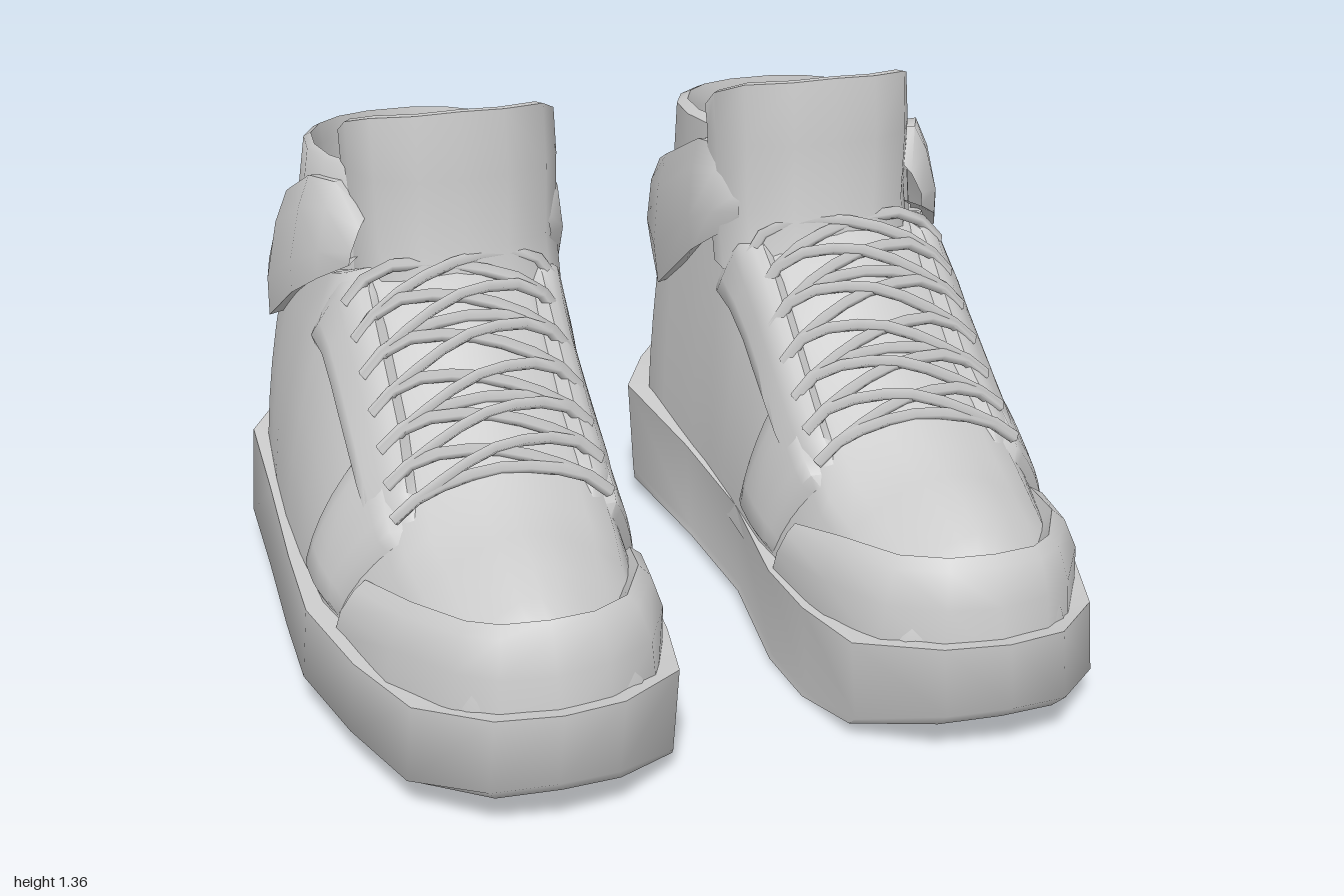
import * as THREE from 'three';
import { toCreasedNormals } from 'three/addons/utils/BufferGeometryUtils.js';

const lerp = THREE.MathUtils.lerp;
const material = new THREE.MeshStandardMaterial({ color: 0xcccccc, side: THREE.DoubleSide });

// Linear lookup in rows sorted by their first value, falling
function lookup(table, z) {
  let i = 0;
  while (i < table.length - 2 && z < table[i + 1][0]) i++;
  const a = table[i], b = table[i + 1];
  const k = THREE.MathUtils.clamp((z - a[0]) / (b[0] - a[0]), 0, 1);
  return a.map((v, j) => lerp(v, b[j], k));
}

// Skin rows of [x, y, z] points; side = -1 mirrors; faces are turned to point outward
function loft(name, rows, side, closed = false, crease = 1.1) {
  const n = rows[0].length, pts = rows.flat().map(p => new THREE.Vector3(p[0] * side, p[1], p[2]));
  const centre = pts.reduce((c, p) => c.add(p), new THREE.Vector3()).divideScalar(pts.length);
  centre.x = 0.53 * side;
  centre.y = Math.min(centre.y, 0.5);
  const index = [];
  for (let r = 0; r < rows.length - 1; r++) {
    for (let i = 0; i < (closed ? n : n - 1); i++) {
      const j = (i + 1) % n, a = r * n + i, b = r * n + j, c = a + n, d = b + n;
      index.push(a, b, d, a, d, c);
    }
  }
  let volume = 0;
  for (let i = 0; i < index.length; i += 3) {
    const [a, b, c] = [0, 1, 2].map(k => pts[index[i + k]].clone().sub(centre));
    volume += a.dot(b.cross(c));
  }
  if (volume < 0) index.reverse();
  const g = new THREE.BufferGeometry().setFromPoints(pts);
  g.setIndex(index);
  const mesh = new THREE.Mesh(toCreasedNormals(g, crease), material);
  mesh.name = name;
  return mesh;
}

// Upper: z, base inner/outer x, shoulder inner/outer x, shoulder y, ridge y
const stations = [
  [0.94, 0.42, 0.64, 0.44, 0.62, 0.28, 0.31], [0.88, 0.30, 0.73, 0.37, 0.69, 0.37, 0.465],
  [0.72, 0.23, 0.82, 0.30, 0.75, 0.42, 0.535], [0.50, 0.20, 0.87, 0.27, 0.77, 0.49, 0.59],
  [0.25, 0.18, 0.93, 0.28, 0.74, 0.66, 0.75], [0.00, 0.19, 0.94, 0.28, 0.74, 0.86, 0.96],
  [-0.12, 0.19, 0.94, 0.26, 0.75, 0.96, 1.00], [-0.20, 0.19, 0.94, 0.24, 0.79, 0.94, 0.95],
  [-0.40, 0.18, 0.93, 0.22, 0.82, 0.90, 0.91], [-0.65, 0.17, 0.91, 0.22, 0.82, 0.86, 0.88],
  [-0.82, 0.24, 0.84, 0.26, 0.79, 0.83, 0.85], [-0.90, 0.30, 0.77, 0.32, 0.73, 0.80, 0.82],
  [-0.95, 0.42, 0.66, 0.42, 0.64, 0.78, 0.79],
];
const BASE = 0.22;

// Point on the upper; t runs 0..1 from the inner base over the top to the outer base
function upper(z, t) {
  const [, xi, xo, si, so, ys, yt] = lookup(stations, z);
  const lean = Math.max(0, -z - 0.6) * 0.1;
  if (t > 0.3 && t < 0.7) {
    const v = (t - 0.3) / 0.4;
    return [lerp(si, so, v), ys + (yt - ys) * Math.sin(Math.PI * v), z + lean];
  }
  const u = Math.min(t, 1 - t) / 0.3, k = u ** 1.8;
  return [t < 0.5 ? lerp(xi, si, k) : lerp(xo, so, k), lerp(BASE, ys, u), z + lean * u];
}

// Padded panel on the upper between t0 and t1, with front and back z at both ends
function panel(name, side, t0, t1, [f0, b0], [f1, b1], thick) {
  const rows = [], N = 8;
  for (let r = 0; r <= N; r++) {
    const row = [];
    for (let c = 0; c <= N; c++) {
      const t = lerp(t0, t1, r / N), z = lerp(lerp(f0, f1, r / N), lerp(b0, b1, r / N), c / N);
      const p = new THREE.Vector3(...upper(z, t));
      const dt = new THREE.Vector3(...upper(z, t + 0.02)).sub(new THREE.Vector3(...upper(z, t - 0.02)));
      const dz = new THREE.Vector3(...upper(z + 0.03, t)).sub(new THREE.Vector3(...upper(z - 0.03, t)));
      // Edges are tucked under the upper, the middle stands proud of it
      const edge = r === 0 || r === N || c === 0 || c === N;
      const inset = c === 1 || c === N - 1 ? 0.8 : 1;
      p.addScaledVector(dz.cross(dt).normalize(), edge ? -0.012 : thick * inset);
      row.push(p.toArray());
    }
    rows.push(row);
  }
  return loft(name, rows, side);
}

// Sole outline [x, z] and the heights of its edges along z
const outline = [
  [0.53, 1], [0.68, 0.965], [0.83, 0.8], [0.91, 0.55], [0.97, 0.27], [0.965, 0], [0.95, -0.35], [0.94, -0.69],
  [0.85, -0.85], [0.76, -0.975], [0.55, -1], [0.30, -0.975], [0.21, -0.85], [0.12, -0.68], [0.17, -0.3], [0.19, 0.05],
  [0.155, 0.4], [0.17, 0.6], [0.21, 0.82], [0.38, 0.965],
];
const soleTop = [[1, 0.31], [0.85, 0.275], [0.6, 0.26], [0.2, 0.27], [-0.2, 0.29], [-0.6, 0.325], [-1, 0.345]];
const soleLow = [[1, 0.12], [0.85, 0.05], [0.55, 0], [0.2, 0.02], [-0.6, 0.04], [-1, 0.09]];

function sole(side) {
  const top = (x, z) => lookup(soleTop, z)[1];
  const low = (x, z) => {
    const y = lookup(soleLow, z)[1];
    return lerp(y, Math.max(0.07, y), THREE.MathUtils.clamp((x - 0.18) / 0.78, 0, 1));
  };
  const ring = (scale, height, shift = 0) => outline.map(([x, z]) => {
    const X = lerp(0.54, x, scale) + shift, Z = z * scale;
    return [X, height(X, Z), Z];
  });
  return loft('sole', [
    ring(0, top), ring(0.88, (x, z) => top(x, z) + 0.005), ring(1, top),
    ring(1, (x, z) => low(x, z) + 0.02, 0.015), ring(0.97, low), ring(0.5, low), ring(0, low),
  ], side, true, 1.25);
}

// Oval ring around the ankle; the height falls from front to back
function ankleRing(x0, x1, zFront, zBack, yFront, yBack) {
  return Array.from({ length: 18 }, (_, i) => {
    const a = i / 18 * Math.PI * 2, c = Math.cos(a), s = Math.sin(a);
    const px = Math.sign(c) * Math.abs(c) ** 0.85, pz = Math.sign(s) * Math.abs(s) ** 0.85, k = (pz + 1) / 2;
    return [lerp(x0, x1, (px + 1) / 2), lerp(yBack, yFront, k), lerp(zBack, zFront, k)];
  });
}

function shoe(side) {
  const group = new THREE.Group();
  group.name = side > 0 ? 'leftShoe' : 'rightShoe';
  group.add(sole(side));

  // Upper, closed at toe and heel
  const zs = stations.flatMap((s, i) => i ? [(s[0] + stations[i - 1][0]) / 2, s[0]] : [s[0]]);
  const body = zs.map(z => Array.from({ length: 21 }, (_, i) => upper(z, i / 20)));
  const cap = z => Array(21).fill([0.54, BASE, z]);
  group.add(loft('upper', [cap(0.945), ...body, cap(-0.955)], side));

  // Toe guard wrapped round the front
  const guardBase = [[0.92, 0.36], [0.86, 0.66], [0.75, 0.85], [0.66, 0.93], [0.53, 0.965], [0.40, 0.93], [0.27, 0.84], [0.20, 0.66], [0.17, 0.38]];
  const guardTop = [[0.86, 0.40, 0.42], [0.80, 0.455, 0.66], [0.71, 0.475, 0.82], [0.64, 0.485, 0.88], [0.53, 0.49, 0.90], [0.42, 0.485, 0.88], [0.32, 0.475, 0.81], [0.24, 0.455, 0.64], [0.20, 0.40, 0.44]];
  const guardRow = (k, y, bulge) => guardBase.map(([x, z], i) => {
    const t = guardTop[i];
    return [lerp(x, t[0], k) + (x - 0.53) * bulge, lerp(0.24, t[1], k) + y, lerp(z, t[2], k) + bulge * 0.3];
  });
  group.add(loft('toeGuard', [guardRow(0, 0, 0), guardRow(0.55, 0, 0.06), guardRow(0.9, 0, 0.03), guardRow(1, 0, -0.03), guardRow(1, -0.06, -0.14)], side));

  // Side straps and lace stays on both flanks
  for (const [label, f] of [['inner', t => t], ['outer', t => 1 - t]]) {
    group.add(panel(label + 'Strap', side, f(0.03), f(0.32), [0.34, 0.1], [0.49, 0.19], 0.028));
    group.add(panel(label + 'LaceStay', side, f(0.22), f(0.34), [0.42, -0.26], [0.47, -0.12], 0.032));
  }

  // Ankle collar: outer wall, rim and lining, with the footbed inside
  group.add(loft('collar', [
    ankleRing(0.22, 0.83, -0.10, -0.87, 0.86, 0.78), ankleRing(0.22, 0.81, -0.10, -0.84, 1.06, 0.98),
    ankleRing(0.22, 0.79, -0.10, -0.80, 1.21, 1.16), ankleRing(0.25, 0.77, -0.12, -0.785, 1.22, 1.17),
    ankleRing(0.27, 0.76, -0.13, -0.78, 1.18, 1.12), ankleRing(0.27, 0.76, -0.13, -0.80, 0.90, 0.84),
  ], side, true));
  group.add(loft('footbed', [ankleRing(0.26, 0.77, -0.12, -0.80, 1.0, 0.98), ankleRing(0.52, 0.52, -0.45, -0.45, 0.99, 0.99)], side, true));

  // Padded ankle band round the heel: x, z, lower y, upper y
  const band = [
    [0.76, -0.12, 0.98, 1.10], [0.83, -0.19, 0.93, 1.17], [0.88, -0.30, 0.86, 1.16], [0.90, -0.58, 0.70, 1.04],
    [0.87, -0.74, 0.72, 0.98], [0.77, -0.90, 0.77, 0.93], [0.54, -0.94, 0.79, 0.92], [0.31, -0.90, 0.77, 0.93],
    [0.20, -0.74, 0.72, 0.98], [0.17, -0.58, 0.67, 1.04], [0.175, -0.30, 0.86, 1.16], [0.20, -0.19, 0.93, 1.17], [0.25, -0.12, 0.98, 1.10],
  ];
  const bandRow = (k, inset) => band.map(([x, z, y0, y1]) => [
    lerp(x, 0.53, inset) - (x > 0.54 ? 0.04 * k : 0), lerp(y0, y1, k), lerp(z, -0.47, inset)]);
  group.add(loft('ankleBand', [bandRow(0.06, 0.18), bandRow(0, 0.02), bandRow(0.3, -0.01), bandRow(0.75, 0.02), bandRow(1, 0.08), bandRow(0.96, 0.25)], side));

  // Tongue: curved padded sheet, [x, z, top y]
  const tongue = [[0.21, -0.26, 1.26], [0.21, -0.19, 1.31], [0.26, -0.10, 1.35], [0.37, -0.05, 1.36], [0.48, -0.04, 1.365],
    [0.59, -0.05, 1.36], [0.69, -0.10, 1.35], [0.735, -0.19, 1.32], [0.74, -0.26, 1.28]];
  const tongueRow = (y, dz, inset) => tongue.map(([x, z, top]) => [lerp(x, 0.48, inset), y ?? top, z + dz]);
  group.add(loft('tongue', [
    tongueRow(0.86, 0.05, 0.02), tongueRow(1.02, 0, 0.02), tongueRow(1.2, 0, 0), tongueRow(null, -0.02, 0),
    tongueRow(null, -0.04, 0.07), tongueRow(1.15, -0.05, 0.1), tongueRow(0.95, -0.05, 0.1),
  ], side));

  // Criss-cross laces with straight bars
  const laces = new THREE.Group();
  laces.name = 'laces';
  const strand = (z0, z1, lift) => {
    const at = (z, t, up) => {
      const [x, y] = upper(z, t);
      return new THREE.Vector3(x * side, y + up, z + up * 0.5);
    };
    const curve = new THREE.CatmullRomCurve3([
      at(z0, 0.27, 0.045), at(z0, 0.34, 0.035), at((z0 + z1) / 2, 0.5, lift), at(z1, 0.66, 0.035), at(z1, 0.73, 0.045)]);
    const mesh = new THREE.Mesh(new THREE.TubeGeometry(curve, 8, 0.016, 4), material);
    mesh.name = 'lace';
    laces.add(mesh);
  };
  for (let i = 0; i < 6; i++) {
    const z = 0.42 - i * 0.085;
    strand(z, z - 0.08, 0.008);
    strand(z - 0.08, z, 0.02);
    if (i % 2 === 0) strand(z, z, 0.005);
  }
  group.add(laces);
  return group;
}

export function createModel() {
  const model = new THREE.Group();
  model.name = 'highTopShoes';
  model.add(shoe(1), shoe(-1));
  return model;
}
